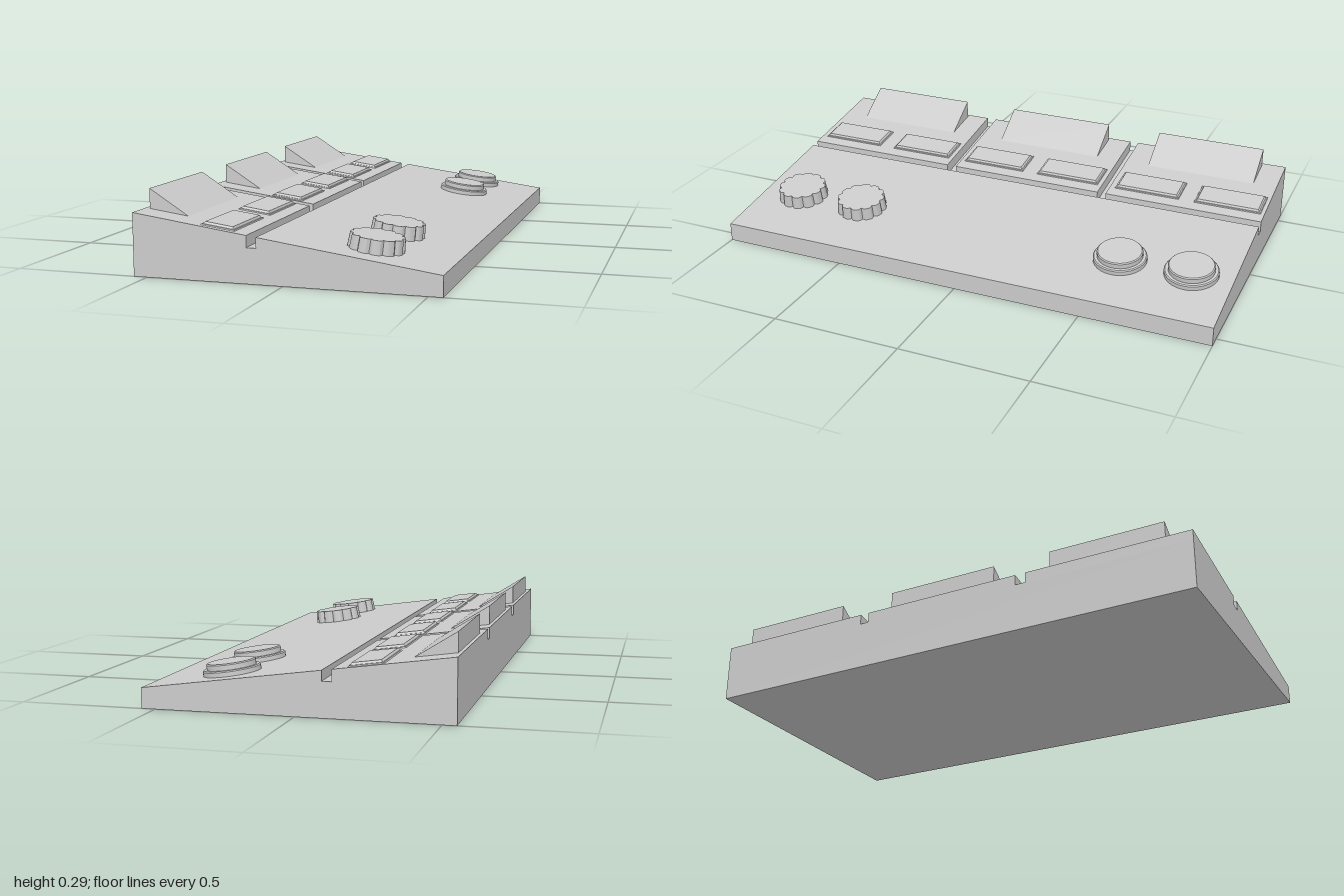
import * as THREE from 'three';
import { toCreasedNormals } from 'three/addons/utils/BufferGeometryUtils.js';

const material = new THREE.MeshStandardMaterial({ color: 0xcccccc });
const SLOPE = 0.152 / 1.1;
const topY = (x) => 0.149 - SLOPE * x;

function addMesh(parent, name, geometry) {
  const mesh = new THREE.Mesh(geometry, material);
  mesh.name = name;
  parent.add(mesh);
  return mesh;
}

// Side profile (x, y) swept from z0 to z1
function sweep(points, z0, z1) {
  const shape = new THREE.Shape(points.map(([x, y]) => new THREE.Vector2(x, y)));
  const g = new THREE.ExtrudeGeometry(shape, { depth: z1 - z0, bevelEnabled: false });
  return g.translate(0, 0, z0);
}

// Group lying on the sloped top, local y along the surface normal
function onSlope(parent, name, x, z) {
  const group = new THREE.Group();
  group.name = name;
  group.position.set(x, topY(x), z);
  group.rotation.z = -Math.atan(SLOPE);
  parent.add(group);
  return group;
}

// Box from y0 to y1 whose top is drawn in by inset
function taperedBox(w, d, y0, y1, inset) {
  const g = new THREE.BoxGeometry(w, y1 - y0, d).translate(0, (y0 + y1) / 2, 0);
  const p = g.attributes.position;
  for (let i = 0; i < p.count; i++) {
    if (p.getY(i) < y1 - 1e-6) continue;
    p.setX(i, p.getX(i) - Math.sign(p.getX(i)) * inset);
    p.setZ(i, p.getZ(i) - Math.sign(p.getZ(i)) * inset);
  }
  g.computeVertexNormals();
  return g;
}

// Grip knob: round outline with small notches, narrowing a little to the top
function knobGeometry() {
  const notches = 12, steps = 12, height = 0.05, points = [];
  for (let i = 0; i < notches * steps; i++) {
    const a = (i / (notches * steps)) * Math.PI * 2;
    const notch = Math.pow(0.5 + 0.5 * Math.cos(a * notches), 4);
    const r = 0.1 - 0.011 * notch;
    points.push(new THREE.Vector2(r * Math.cos(a), r * Math.sin(a)));
  }
  const g = new THREE.ExtrudeGeometry(new THREE.Shape(points), {
    depth: height + 0.005, bevelEnabled: false,
  });
  g.rotateX(-Math.PI / 2).translate(0, -0.005, 0);
  const p = g.attributes.position;
  for (let i = 0; i < p.count; i++) {
    const s = 1 - 0.045 * Math.max(0, p.getY(i) / height);
    p.setX(i, p.getX(i) * s);
    p.setZ(i, p.getZ(i) * s);
  }
  return toCreasedNormals(g, 0.6);
}

// Round push button: wide collar and raised cap
function buttonGeometry() {
  const profile = [[0.102, -0.005], [0.102, 0.016], [0.098, 0.02], [0.087, 0.02],
    [0.087, 0.038], [0.083, 0.042], [0, 0.042]];
  const g = new THREE.LatheGeometry(profile.map(([r, y]) => new THREE.Vector2(r, y)), 48);
  return toCreasedNormals(g, 0.6);
}

export function createModel() {
  const model = new THREE.Group();
  model.name = 'controlPanel';

  // Sloped base with the long groove
  addMesh(model, 'base', sweep([
    [-0.55, 0], [0.55, 0], [0.55, topY(0.55)], [-0.095, topY(-0.095)],
    [-0.095, 0.125], [-0.13, 0.125], [-0.55, 0.185],
  ], -1, 1));

  // Three raised banks divided by cross grooves, each with a wedge and two pads
  const banks = [
    { z: [-1, -0.36], wedge: [-0.905, -0.458], pads: [-0.85, -0.517] },
    { z: [-0.325, 0.315], wedge: [-0.23, 0.218], pads: [-0.172, 0.162] },
    { z: [0.355, 1], wedge: [0.448, 0.895], pads: [0.508, 0.843] },
  ];
  for (const bank of banks) {
    addMesh(model, 'bank', sweep([
      [-0.55, 0.185], [-0.13, 0.125], [-0.13, topY(-0.13)], [-0.55, topY(-0.55)],
    ], ...bank.z));
    addMesh(model, 'wedge', sweep([
      [-0.535, topY(-0.535) - 0.004], [-0.388, topY(-0.388) - 0.004],
      [-0.388, topY(-0.388)], [-0.535, 0.295],
    ], ...bank.wedge));
    for (const z of bank.pads) {
      const pad = onSlope(model, 'pad', -0.243, z);
      addMesh(pad, 'padFrame', taperedBox(0.127, 0.272, -0.002, 0.004, 0.003));
      addMesh(pad, 'padTop', taperedBox(0.114, 0.258, 0.002, 0.012, 0.006));
    }
  }

  // Two push buttons at the back, two knobs at the front
  const button = buttonGeometry();
  const knob = knobGeometry();
  for (const z of [-0.84, -0.563]) addMesh(onSlope(model, 'button', 0.275, z), 'buttonBody', button);
  for (const z of [0.545, 0.822]) addMesh(onSlope(model, 'knob', 0.273, z), 'knobBody', knob);

  return model;
}
